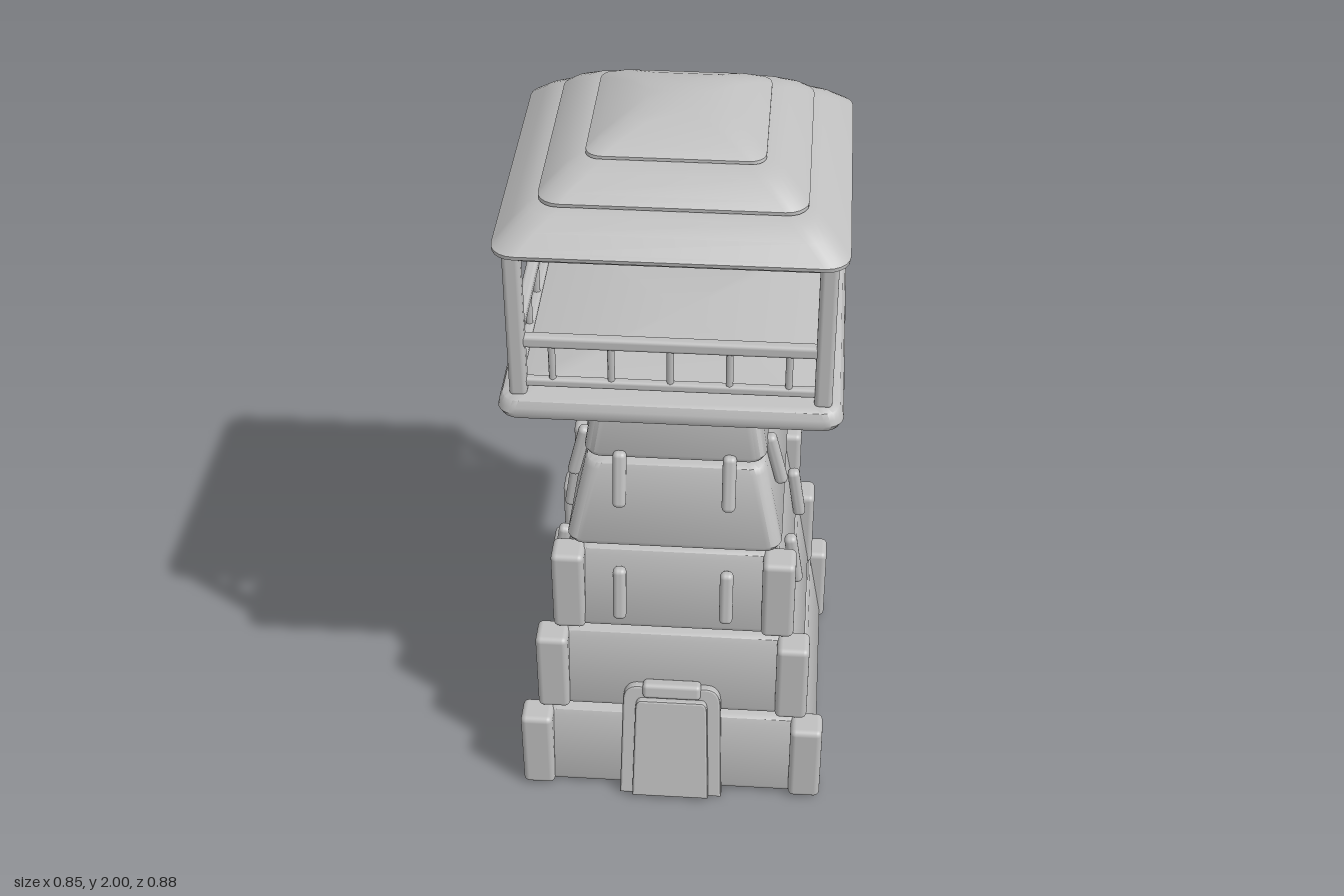
import * as THREE from 'three';
import { toCreasedNormals } from 'three/addons/utils/BufferGeometryUtils.js';
import { RoundedBoxGeometry } from 'three/addons/geometries/RoundedBoxGeometry.js';

const stone = new THREE.MeshStandardMaterial({ color: 0xbfbfbf });
stone.name = 'pale grey stone';

// Lofts rounded squares: each section is [y, half width, corner radius]
function loft(sections, steps = 5) {
  const pos = [], idx = [], n = 4 * (steps + 1);
  for (const [y, h, r] of sections)
    for (let q = 0; q < 4; q++)
      for (let i = 0; i <= steps; i++) {
        const a = (q + i / steps) * Math.PI / 2;
        const cx = (q === 0 || q === 3 ? 1 : -1) * (h - r), cz = (q < 2 ? 1 : -1) * (h - r);
        pos.push(cx + r * Math.cos(a), y, cz + r * Math.sin(a));
      }
  const last = sections.length - 1;
  for (let s = 0; s < last; s++)
    for (let i = 0; i < n; i++) {
      const a = s * n + i, b = s * n + (i + 1) % n;
      idx.push(a, a + n, b, b, a + n, b + n);
    }
  const bottom = pos.length / 3;
  pos.push(0, sections[0][0], 0, 0, sections[last][0], 0);
  for (let i = 0; i < n; i++) {
    const j = (i + 1) % n;
    idx.push(bottom, i, j, bottom + 1, last * n + j, last * n + i);
  }
  const geo = new THREE.BufferGeometry();
  geo.setAttribute('position', new THREE.Float32BufferAttribute(pos, 3));
  geo.setIndex(idx);
  return toCreasedNormals(geo, 0.75);
}

// Tapered block with softened top and bottom edges
function block(y0, y1, h0, h1, r, e = 0.022) {
  return loft([
    [y0, h0 - e, r], [y0 + e * 0.3, h0 - e * 0.3, r], [y0 + e, h0, r],
    [y1 - e, h1, r], [y1 - e * 0.3, h1 - e * 0.3, r], [y1, h1 - e, r],
  ]);
}

function add(parent, name, geo, x = 0, y = 0, z = 0) {
  const mesh = new THREE.Mesh(geo, stone);
  mesh.name = name;
  mesh.position.set(x, y, z);
  parent.add(mesh);
  return mesh;
}

// Upright panel with rounded top corners
function panel(w, h, r, depth) {
  const s = new THREE.Shape();
  s.moveTo(-w, 0);
  s.lineTo(w, 0);
  s.lineTo(w - 0.008, h - r);
  s.quadraticCurveTo(w - 0.01, h, w - r, h);
  s.lineTo(r - w, h);
  s.quadraticCurveTo(0.01 - w, h, 0.008 - w, h - r);
  s.closePath();
  return new THREE.ExtrudeGeometry(s, {
    depth, bevelEnabled: true, bevelThickness: 0.006, bevelSize: 0.006, bevelOffset: -0.006, bevelSegments: 2,
  });
}

export function createModel() {
  const model = new THREE.Group();
  model.name = 'watchtower';
  const tower = new THREE.Group();
  tower.name = 'tower';
  tower.position.z = -0.015;
  model.add(tower);

  // Stacked stone tiers: bottom, top, half width below and above, corner stone reach
  const tiers = [
    [0.01, 0.26, 0.405, 0.37, 0.418],
    [0.27, 0.52, 0.36, 0.325, 0.372],
    [0.53, 0.78, 0.318, 0.28, 0.326],
    [0.79, 1.04, 0.285, 0.24, 0],
    [1.05, 1.3, 0.238, 0.203, 0],
  ];
  tiers.forEach(([y0, y1, h0, h1, reach], i) => {
    add(tower, 'stoneTier' + (i + 1), block(y0, y1, h0, h1, 0.04));
    if (!reach) return;
    const corner = new RoundedBoxGeometry(0.088, y1 - y0 + 0.004, 0.088, 3, 0.016);
    for (const sx of [-1, 1]) for (const sz of [-1, 1])
      add(tower, 'cornerStone', corner, sx * (reach - 0.044), (y0 + y1) / 2, sz * (reach - 0.044));
  });
  // Narrow core closing the joints between tiers
  add(tower, 'core', block(0.2, 1.33, 0.3, 0.17, 0.03));

  // Platform slab
  add(tower, 'platform', block(1.305, 1.368, 0.425, 0.422, 0.045, 0.024));

  // Everything repeated on the four sides
  const batten = new RoundedBoxGeometry(0.036, 0.16, 0.034, 3, 0.014);
  const topRail = new RoundedBoxGeometry(0.73, 0.034, 0.03, 2, 0.01);
  const lowRail = new RoundedBoxGeometry(0.73, 0.024, 0.024, 2, 0.008);
  const baluster = new THREE.CylinderGeometry(0.009, 0.009, 0.12, 8);
  const post = new RoundedBoxGeometry(0.044, 0.41, 0.044, 3, 0.012);
  for (let k = 0; k < 4; k++) {
    const side = new THREE.Group();
    side.name = 'side' + (k + 1);
    side.rotation.y = k * Math.PI / 2;
    tower.add(side);
    for (const x of [-0.143, 0.143]) {
      add(side, 'lowerBatten', batten, x, 0.66, 0.318).rotation.x = -0.15;
      add(side, 'upperBatten', batten, x, 1.005, 0.26).rotation.x = -0.24;
    }
    add(side, 'handRail', topRail, 0, 1.518, 0.375);
    add(side, 'footRail', lowRail, 0, 1.397, 0.375);
    for (let i = -2; i <= 2; i++)
      add(side, 'baluster', baluster, i * 0.144, 1.455, 0.375);
    add(side, 'roofPost', post, 0.373, 1.565, 0.373);
  }

  // Three stepped roof tiers
  add(tower, 'lowerRoof', loft([
    [1.738, 0.37, 0.03], [1.765, 0.408, 0.05], [1.772, 0.419, 0.055], [1.782, 0.421, 0.06],
    [1.79, 0.412, 0.06], [1.822, 0.378, 0.06], [1.848, 0.342, 0.06], [1.857, 0.31, 0.06],
  ]));
  add(tower, 'middleRoof', loft([
    [1.852, 0.3, 0.04], [1.858, 0.318, 0.05], [1.867, 0.319, 0.055],
    [1.885, 0.3, 0.055], [1.915, 0.256, 0.055], [1.928, 0.22, 0.05],
  ]));
  add(tower, 'upperRoof', loft([
    [1.924, 0.2, 0.03], [1.93, 0.214, 0.035], [1.938, 0.214, 0.04],
    [1.957, 0.185, 0.045], [1.983, 0.125, 0.05], [1.994, 0.085, 0.07], [2, 0.04, 0.04],
  ]));

  // Leaning doorway at the front
  const door = new THREE.Group();
  door.name = 'doorway';
  door.position.set(0, 0.004, 0.397);
  door.rotation.x = -0.18;
  model.add(door);
  add(door, 'doorFrame', panel(0.143, 0.362, 0.05, 0.018));
  add(door, 'doorLeaf', panel(0.107, 0.322, 0.025, 0.018), 0, 0.004, 0.018);
  add(door, 'lintel', new RoundedBoxGeometry(0.16, 0.046, 0.04, 3, 0.012), 0, 0.352, 0.016);
  return model;
}
